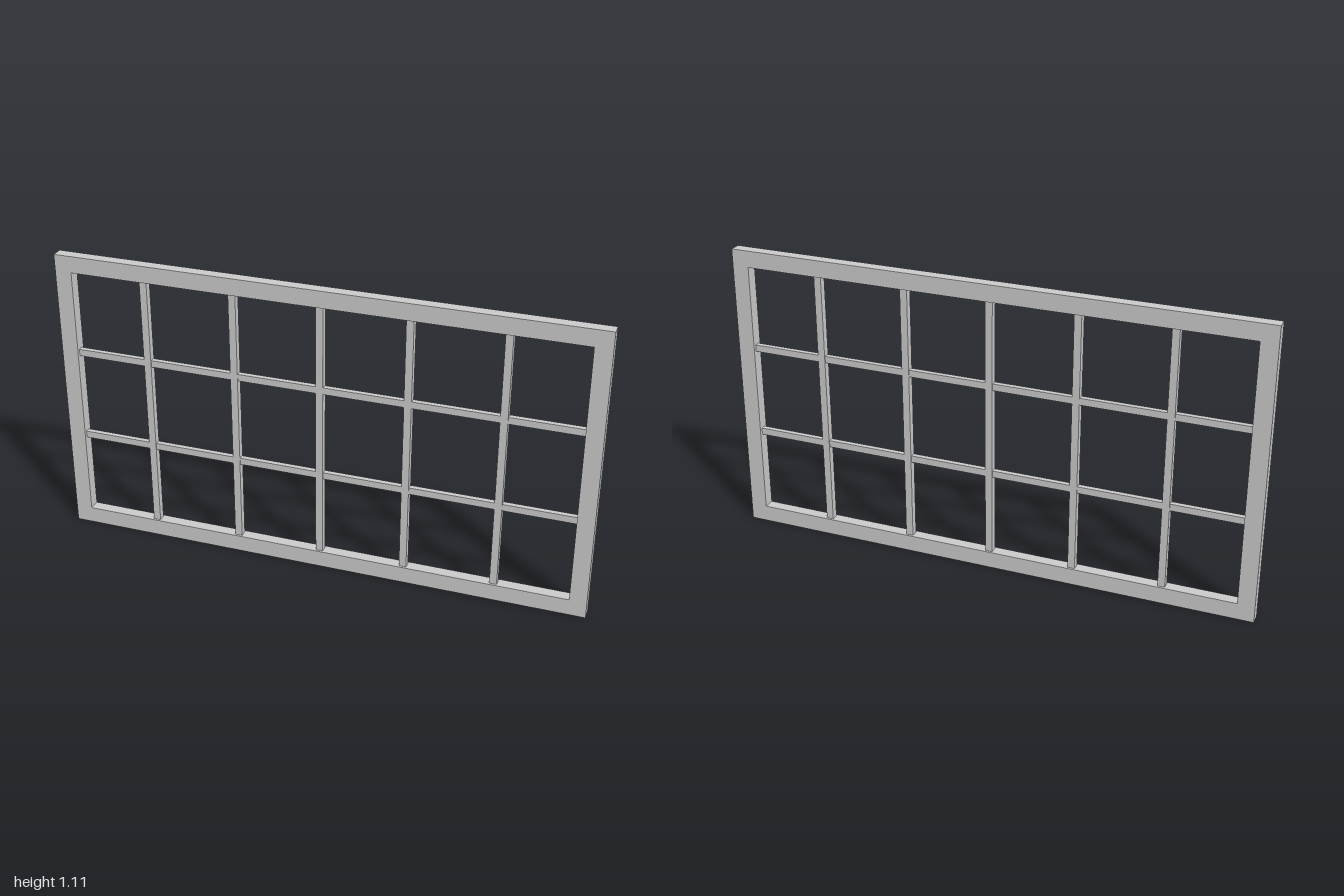
import * as THREE from 'three';

const material = new THREE.MeshStandardMaterial({ color: 0xcccccc, flatShading: true });

const WIDTH = 2, HEIGHT = 1.11, DEPTH = 0.044, BORDER = 0.063;

function addBar(group, name, w, h, d, x, y) {
  const mesh = new THREE.Mesh(new THREE.BoxGeometry(w, h, d), material);
  mesh.name = name;
  mesh.position.set(x, y, 0);
  group.add(mesh);
}

export function createModel() {
  const model = new THREE.Group();
  model.name = 'windowGrid';

  // Outer frame: a rectangle with one opening
  const outline = new THREE.Shape([
    new THREE.Vector2(-WIDTH / 2, 0), new THREE.Vector2(WIDTH / 2, 0),
    new THREE.Vector2(WIDTH / 2, HEIGHT), new THREE.Vector2(-WIDTH / 2, HEIGHT),
  ]);
  const ix = WIDTH / 2 - BORDER, top = HEIGHT - BORDER;
  outline.holes.push(new THREE.Path([
    new THREE.Vector2(-ix, BORDER), new THREE.Vector2(-ix, top),
    new THREE.Vector2(ix, top), new THREE.Vector2(ix, BORDER),
  ]));
  const frameGeometry = new THREE.ExtrudeGeometry(outline, { depth: DEPTH, bevelEnabled: false });
  frameGeometry.translate(0, 0, -DEPTH / 2);
  const frame = new THREE.Mesh(frameGeometry, material);
  frame.name = 'outerFrame';
  model.add(frame);

  // Upright glazing bars, thinner than the frame
  for (const x of [-0.66, -0.322, 0, 0.322, 0.66]) {
    addBar(model, 'verticalBar', 0.027, HEIGHT - 2 * BORDER, 0.027, x, HEIGHT / 2);
  }

  // Cross bars, set slightly behind the faces of the uprights
  for (const y of [0.384, 0.727]) {
    addBar(model, 'horizontalBar', WIDTH - 2 * BORDER, 0.026, 0.02, 0, y);
  }

  return model;
}
